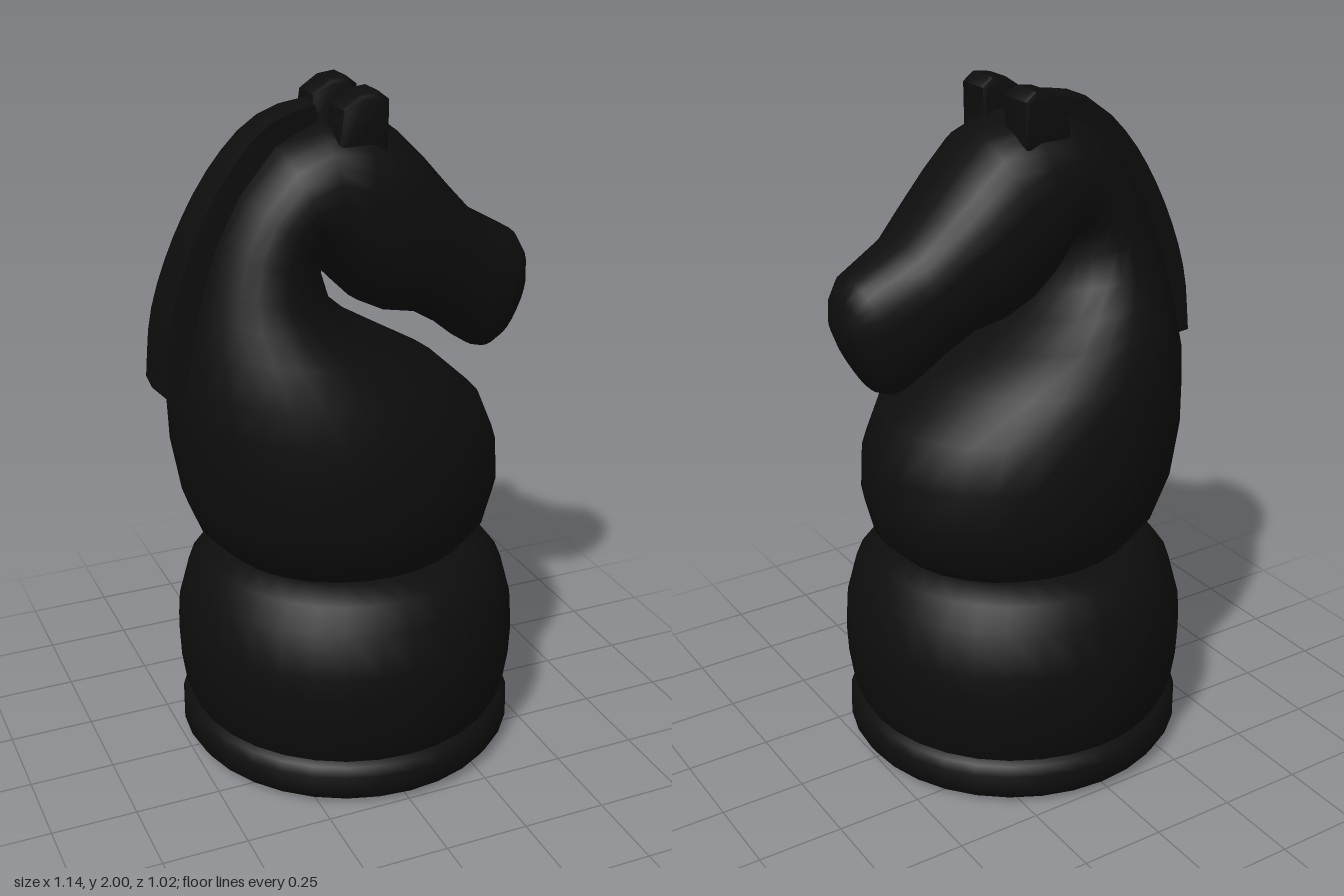
import * as THREE from 'three';
import { toCreasedNormals } from 'three/addons/utils/BufferGeometryUtils.js';

const black = new THREE.MeshStandardMaterial({ color: 0x0d0d0d, roughness: 0.6 });

// Skin a list of closed rings (arrays of Vector3) and close both ends.
function loft(rings) {
  const n = rings[0].length, pos = [], idx = [];
  const centre = ring => ring.reduce((s, p) => s.add(p), new THREE.Vector3()).divideScalar(n);
  for (const ring of rings) for (const p of ring) pos.push(p.x, p.y, p.z);
  for (let i = 0; i < rings.length - 1; i++) {
    for (let j = 0; j < n; j++) {
      const a = i * n + j, b = i * n + (j + 1) % n;
      idx.push(a, b, b + n, a, b + n, a + n);
    }
  }
  const last = (rings.length - 1) * n, c0 = rings.length * n;
  for (const c of [centre(rings[0]), centre(rings.at(-1))]) pos.push(c.x, c.y, c.z);
  for (let j = 0; j < n; j++) {
    const k = (j + 1) % n;
    idx.push(c0, k, j, c0 + 1, last + j, last + k);
  }
  const g = new THREE.BufferGeometry();
  g.setAttribute('position', new THREE.Float32BufferAttribute(pos, 3));
  g.setIndex(idx);
  g.computeVertexNormals();
  return g;
}

function part(name, geometry) {
  const m = new THREE.Mesh(geometry, black);
  m.name = name;
  return m;
}

// Body, neck and head: [back x, back y, front x, front y, half width]
const SECTIONS = [
  [-0.30, 0.62, 0.32, 0.62, 0.30],
  [-0.36, 0.65, 0.38, 0.65, 0.34],
  [-0.44, 0.73, 0.44, 0.71, 0.39],
  [-0.48, 0.83, 0.468, 0.82, 0.42],
  [-0.51, 1.00, 0.46, 0.95, 0.425],
  [-0.515, 1.12, 0.41, 1.07, 0.405],
  [-0.51, 1.22, 0.28, 1.19, 0.375],
  [-0.49, 1.33, 0.14, 1.27, 0.32],
  [-0.47, 1.42, 0.02, 1.34, 0.27],
  [-0.44, 1.51, -0.06, 1.41, 0.235],
  [-0.40, 1.62, -0.085, 1.49, 0.212],
  [-0.33, 1.74, -0.09, 1.53, 0.205],
  [-0.22, 1.86, -0.088, 1.54, 0.21],
  [-0.10, 1.91, -0.08, 1.53, 0.22],
  [0.03, 1.915, -0.045, 1.455, 0.228],
  [0.14, 1.87, 0.02, 1.39, 0.226],
  [0.22, 1.79, 0.10, 1.35, 0.215],
  [0.30, 1.70, 0.20, 1.33, 0.195],
  [0.38, 1.615, 0.29, 1.275, 0.17],
  [0.46, 1.57, 0.35, 1.225, 0.152],
  [0.53, 1.53, 0.395, 1.195, 0.138],
  [0.56, 1.48, 0.43, 1.185, 0.12],
  [0.57, 1.42, 0.47, 1.20, 0.09],
  [0.56, 1.36, 0.505, 1.25, 0.045],
];

function horseGeometry() {
  const n = 28;
  const rings = SECTIONS.map(([ax, ay, bx, by, w], i) => {
    const e = i > 12 ? 0.84 : 1; // the head is a little squarer than the body
    const soft = v => Math.sign(v) * Math.abs(v) ** e;
    return Array.from({ length: n }, (_, j) => {
      const t = j / n * Math.PI * 2, c = soft(Math.cos(t)), s = soft(Math.sin(t));
      return new THREE.Vector3((ax + bx) / 2 + c * (ax - bx) / 2, (ay + by) / 2 + c * (ay - by) / 2, s * w);
    });
  });
  return loft(rings);
}

// Mane: a ridged strip along the back of the neck
function maneGeometry() {
  const outer = new THREE.CatmullRomCurve3([
    [-0.57, 1.20], [-0.553, 1.38], [-0.505, 1.54], [-0.43, 1.70],
    [-0.35, 1.82], [-0.26, 1.91], [-0.18, 1.95], [-0.10, 1.965],
  ].map(([x, y]) => new THREE.Vector3(x, y, 0)));
  const rings = [];
  for (let i = 0; i <= 14; i++) {
    const u = i / 14, p = outer.getPointAt(u), t = outer.getTangentAt(u);
    const w = THREE.MathUtils.lerp(0.095, 0.052, u);
    const at = (depth, z) => new THREE.Vector3(p.x + t.y * depth, p.y - t.x * depth, z);
    rings.push([at(0, 0), at(0.012, w), at(0.14, w), at(0.14, -w), at(0.012, -w)]);
  }
  return toCreasedNormals(loft(rings), 0.6);
}

// Ear: blunt side profile with a slanted top
function earGeometry() {
  const s = new THREE.Shape([
    [-0.07, 1.82], [0.055, 1.82], [0.057, 1.968], [0.035, 1.985], [-0.005, 1.98], [-0.05, 1.95],
  ].map(p => new THREE.Vector2(...p)));
  const g = new THREE.ExtrudeGeometry(s, {
    depth: 0.082, bevelThickness: 0.016, bevelSize: 0.015, bevelSegments: 2,
  });
  g.translate(0, 0, -0.041);
  return toCreasedNormals(g, 0.7);
}

export function createModel() {
  const group = new THREE.Group();

  // Round foot with a groove below the drum
  const profile = [
    [0, 0], [0.465, 0], [0.49, 0.018], [0.507, 0.045], [0.507, 0.1], [0.492, 0.125], [0.475, 0.135],
    [0.495, 0.18], [0.508, 0.27], [0.512, 0.36], [0.507, 0.43], [0.475, 0.55], [0.425, 0.615],
    [0.36, 0.65], [0, 0.655],
  ].map(p => new THREE.Vector2(...p));
  const base = part('base', toCreasedNormals(new THREE.LatheGeometry(profile, 32), 0.75));
  base.position.x = 0.01;
  group.add(base);

  group.add(part('horseBodyAndHead', horseGeometry()));
  group.add(part('mane', maneGeometry()));

  for (const side of [1, -1]) {
    const ear = part(side > 0 ? 'frontEar' : 'backEar', earGeometry());
    ear.position.z = side * 0.107;
    group.add(ear);
  }
  return group;
}
